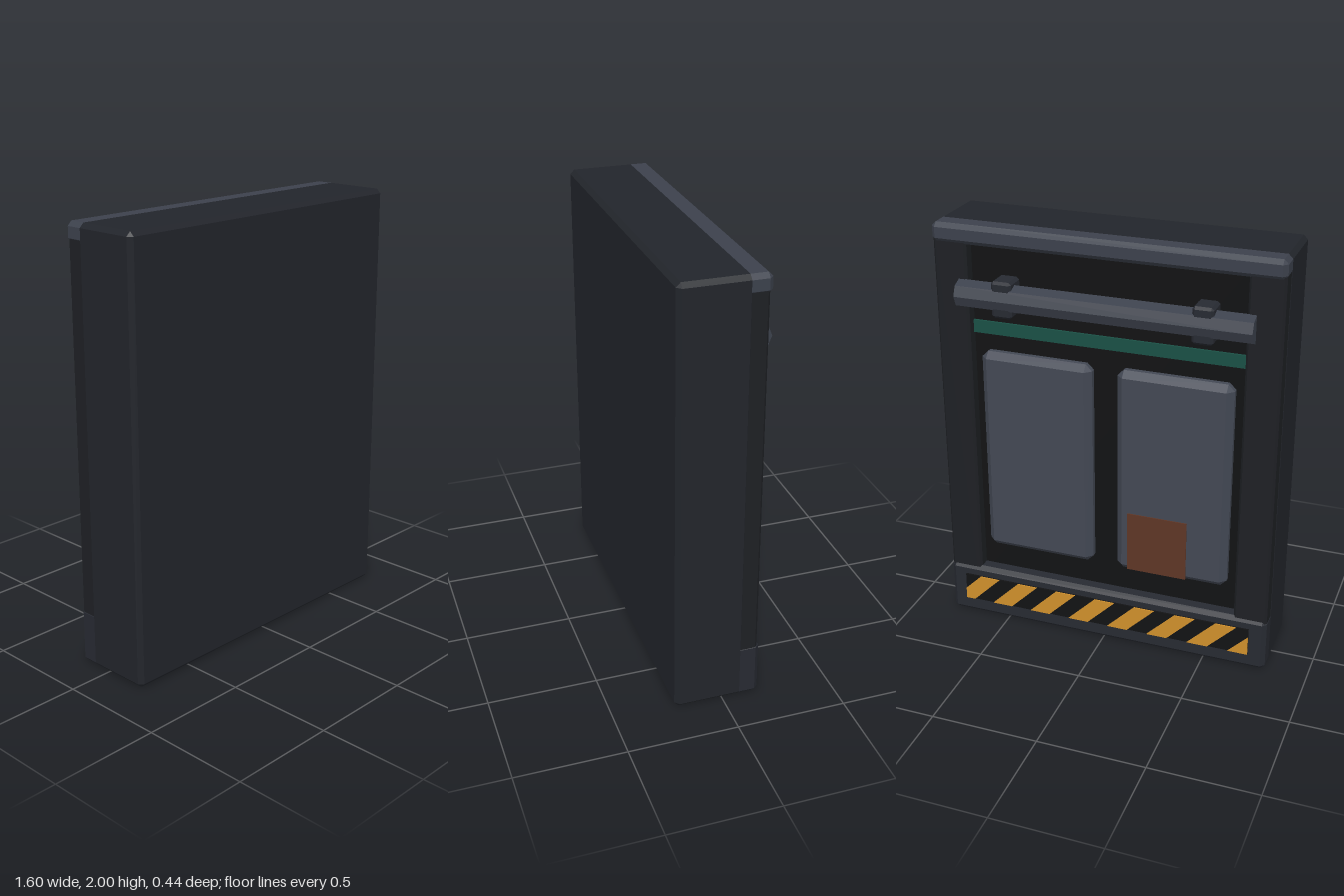
import * as THREE from 'three';
import { ConvexGeometry } from 'three/addons/geometries/ConvexGeometry.js';

const material = (color) => new THREE.MeshStandardMaterial({ color });

// Box between two corners with every edge chamfered by c
function chamferBox([x0, y0, z0], [x1, y1, z1], c) {
  const half = [(x1 - x0) / 2, (y1 - y0) / 2, (z1 - z0) / 2];
  const points = [];
  for (const sx of [-1, 1]) for (const sy of [-1, 1]) for (const sz of [-1, 1]) {
    for (let face = 0; face < 3; face++) {
      const h = half.map((v, i) => (i === face ? v : v - c));
      points.push(new THREE.Vector3(sx * h[0], sy * h[1], sz * h[2]));
    }
  }
  return new ConvexGeometry(points).translate((x0 + x1) / 2, (y0 + y1) / 2, (z0 + z1) / 2);
}

function plainBox([x0, y0, z0], [x1, y1, z1]) {
  return new THREE.BoxGeometry(x1 - x0, y1 - y0, z1 - z0)
    .translate((x0 + x1) / 2, (y0 + y1) / 2, (z0 + z1) / 2);
}

export function createModel() {
  const group = new THREE.Group();
  const add = (name, geometry, mat) => {
    const mesh = new THREE.Mesh(geometry, mat);
    mesh.name = name;
    group.add(mesh);
    return mesh;
  };

  const bodyMat = material(0x22252b);
  const frameMat = material(0x1e2024);
  const recessMat = material(0x121314);
  const baseMat = material(0x272a32);
  const steelMat = material(0x3c414c);
  const panelMat = material(0x434854);
  const tealMat = material(0x1a5045);
  const rustMat = material(0x5f3626);
  const stripeMat = material(0xd0902c);

  // Main slab and the dark floor of the rear recess
  add('body', chamferBox([-0.8, 0, -0.1], [0.8, 2, 0.22], 0.02), bodyMat);
  add('recessFloor', plainBox([-0.65, 0.2, -0.104], [0.65, 1.95, -0.09]), recessMat);

  // Raised frame around the recess: columns, cap and base
  for (const s of [-1, 1]) {
    const [a, b] = s < 0 ? [-0.798, -0.64] : [0.64, 0.798];
    add(s < 0 ? 'rightColumn' : 'leftColumn', chamferBox([a, 0.02, -0.16], [b, 1.97, -0.07], 0.01), frameMat);
  }
  add('topCap', chamferBox([-0.8, 1.91, -0.175], [0.8, 2, -0.06], 0.02), steelMat);
  add('baseBand', chamferBox([-0.8, 0, -0.172], [0.8, 0.265, -0.06], 0.02), baseMat);

  // Two raised door panels, one with a rusty patch
  for (const s of [-1, 1]) {
    const [a, b] = s < 0 ? [-0.595, -0.06] : [0.06, 0.595];
    add(s < 0 ? 'rightPanel' : 'leftPanel', chamferBox([a, 0.4, -0.163], [b, 1.41, -0.08], 0.03), panelMat);
  }
  add('rustPatch', plainBox([-0.405, 0.414, -0.168], [-0.12, 0.71, -0.155]), rustMat);

  // Indicator strip above the panels
  add('indicatorStrip', plainBox([-0.645, 1.485, -0.115], [0.645, 1.545, -0.095]), tealMat);

  // Octagonal grab bar and its two brackets
  const bar = new THREE.CylinderGeometry(0.065, 0.065, 1.36, 8).rotateZ(Math.PI / 2).translate(0, 1.685, -0.158);
  steelMat.flatShading = true;
  add('grabBar', bar, steelMat);
  for (const x of [-0.46, 0.46]) {
    add('barBracket', chamferBox([x - 0.048, 1.6, -0.206], [x + 0.048, 1.77, -0.09], 0.012), baseMat);
  }

  // Warning plate with slanted stripes clipped to its ends
  const low = 0.08, high = 0.215, end = 0.72;
  add('warningPlate', plainBox([-end, low, -0.18], [end, high, -0.165]), recessMat);
  const lean = high - low;
  for (let i = 0; i < 8; i++) {
    const u = -0.775 + i * 0.2;
    // Corners of the stripe, then its cut against both ends of the plate
    let outline = [[u, low], [u + 0.1, low], [u + 0.1 + lean, high], [u + lean, high]];
    for (const s of [-1, 1]) {
      const cut = [];
      outline.forEach((p, k) => {
        const q = outline[(k + 1) % outline.length];
        const pIn = s * p[0] <= end, qIn = s * q[0] <= end;
        if (pIn) cut.push(p);
        if (pIn !== qIn) {
          const t = (s * end - p[0]) / (q[0] - p[0]);
          cut.push([s * end, p[1] + t * (q[1] - p[1])]);
        }
      });
      outline = cut;
    }
    const shape = new THREE.Shape(outline.map(([x, y]) => new THREE.Vector2(-x, y)));
    const stripe = new THREE.ExtrudeGeometry(shape, { depth: 0.006, bevelEnabled: false });
    add('warningStripe', stripe.translate(0, 0, -0.184), stripeMat);
  }

  return group;
}
